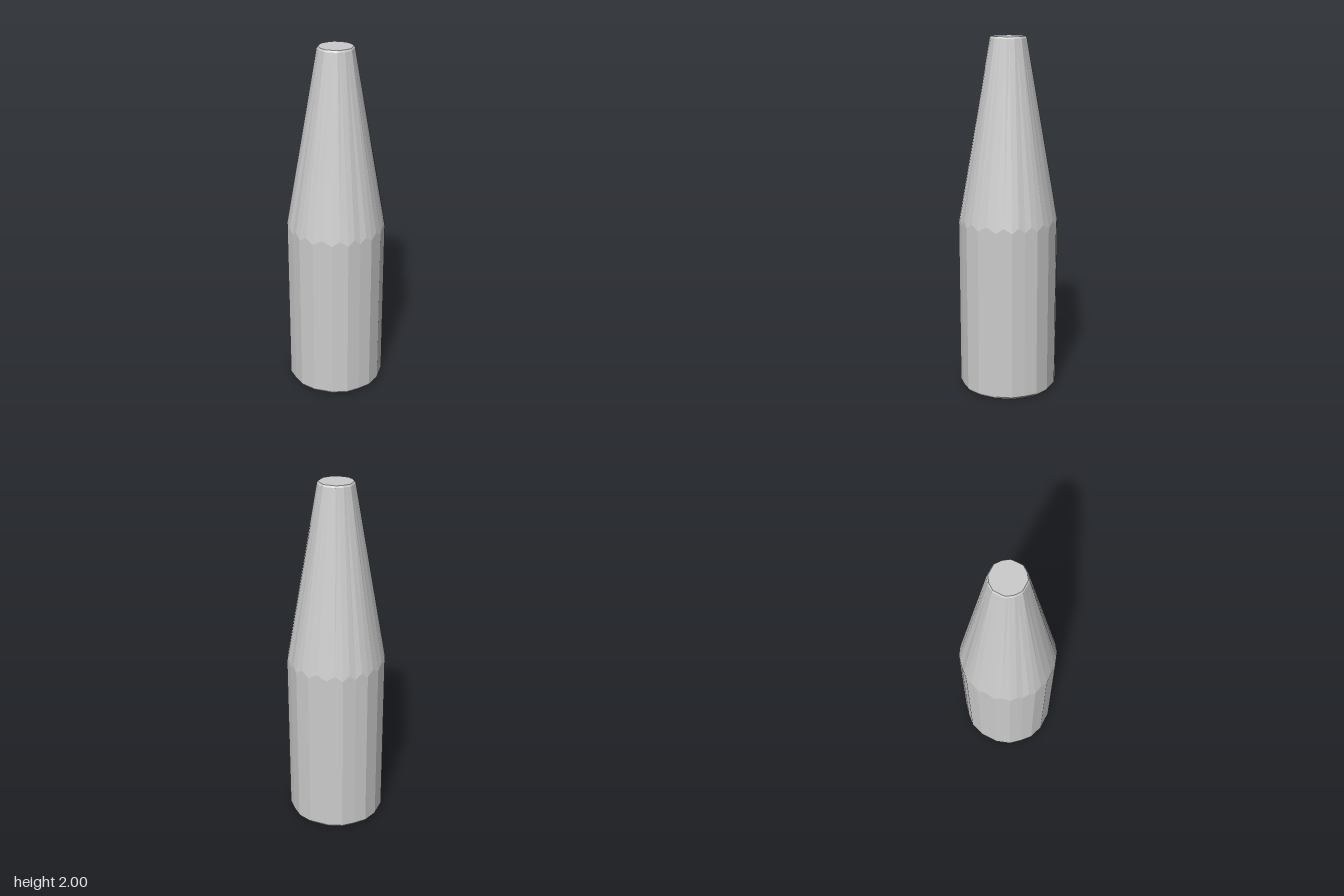
import * as THREE from 'three';

// Corners [x, z] of the first quadrant of each faceted outline
const BASE = [[0.054, 0.272], [0.139, 0.243], [0.194, 0.194], [0.243, 0.139], [0.272, 0.054]];
const TIP = [[0.034, 0.096], [0.07, 0.07], [0.096, 0.034]];

// Repeat a quadrant around the axis, going from +z towards +x
function fullOutline(quarter) {
  const points = [];
  for (let q = 0; q < 4; q++) {
    for (const [x, z] of quarter) {
      points.push(new THREE.Vector2(x, z).rotateAround(new THREE.Vector2(), -q * Math.PI / 2));
    }
  }
  return points;
}

// Where a ray from the axis in direction d leaves a convex outline
function onOutline(outline, d) {
  let best = Infinity;
  outline.forEach((a, i) => {
    const e = outline[(i + 1) % outline.length].clone().sub(a);
    const facing = d.cross(e);
    if (Math.abs(facing) < 1e-9) return;
    const t = a.cross(e) / facing;
    if (t > 0) best = Math.min(best, t);
  });
  return d.clone().multiplyScalar(best);
}

// Skin a stack of rings, closing the bottom or the top with a fan
function loft(rings, capBottom, capTop) {
  const n = rings[0].length;
  const positions = rings.flat().flatMap((p) => p.toArray());
  const index = [];
  for (let r = 0; r < rings.length - 1; r++) {
    for (let i = 0; i < n; i++) {
      const a = r * n + i, b = r * n + (i + 1) % n;
      index.push(a, b, b + n, a, b + n, a + n);
    }
  }
  const last = (rings.length - 1) * n;
  for (let i = 1; i < n - 1; i++) {
    if (capBottom) index.push(0, i + 1, i);
    if (capTop) index.push(last, last + i, last + i + 1);
  }
  const geometry = new THREE.BufferGeometry();
  geometry.setAttribute('position', new THREE.Float32BufferAttribute(positions, 3));
  geometry.setIndex(index);
  const flat = geometry.toNonIndexed();
  flat.computeVertexNormals();
  return flat;
}

export function createModel() {
  const group = new THREE.Group();
  group.name = 'taperedBottle';
  const material = new THREE.MeshStandardMaterial({ color: 0xcccccc, flatShading: true });

  // Body outline with a midpoint on every facet; the tip follows the same directions
  const corners = fullOutline(BASE);
  const base = corners.flatMap((p, i) => [p, p.clone().lerp(corners[(i + 1) % corners.length], 0.5)]);
  const tipOutline = fullOutline(TIP);
  const tip = base.map((p) => onOutline(tipOutline, p.clone().normalize()));
  const ring = (points, y, scale = 1) =>
    points.map((p, i) => new THREE.Vector3(p.x * scale, typeof y === 'function' ? y(i) : y, p.y * scale));

  // Scalloped shoulder: lower at the corners, higher in the middle of each facet
  const shoulder = ring(base, (i) => (i % 2 ? 1.0 : 0.972));

  // Straight faceted body with a small bottom bevel
  const body = new THREE.Mesh(
    loft([ring(base, 0, 0.975), ring(base, 0.012), shoulder], true, false), material);
  body.name = 'body';

  // Long tapering neck with a bevelled flat tip
  const neck = new THREE.Mesh(
    loft([shoulder, ring(tip, 1.99), ring(tip, 2, 0.93)], false, true), material);
  neck.name = 'taperedNeck';

  group.add(body, neck);
  return group;
}
